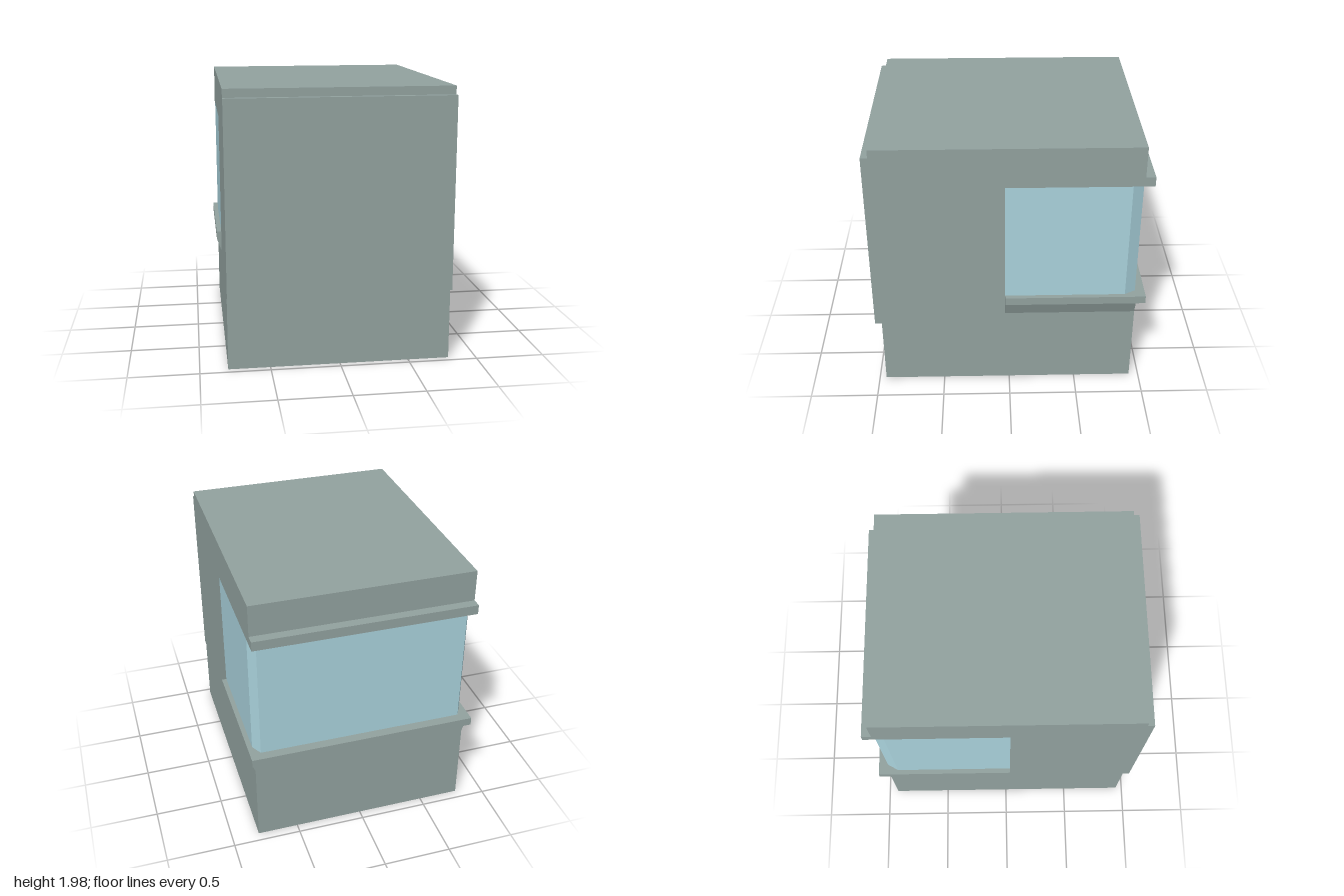
import * as THREE from 'three';

export function createModel() {
  const model = new THREE.Group();
  const wall = new THREE.MeshStandardMaterial({ color: 0x93a3a0 });
  const glass = new THREE.MeshStandardMaterial({ color: 0xabd4de });

  const add = (name, geometry, material) => {
    const mesh = new THREE.Mesh(geometry, material);
    mesh.name = name;
    model.add(mesh);
    return mesh;
  };
  const extrude = (points, depth) => new THREE.ExtrudeGeometry(
    new THREE.Shape(points.map(([x, y]) => new THREE.Vector2(x, y))),
    { depth, bevelEnabled: false });

  const W = 0.8, BACK = -0.93, FRONT = 0.95;
  const SILL = 0.77, HEAD = 1.68, JAMB = 0.03;

  // Body: side profile (z, y) with raised front panel and rear window notch
  const body = extrude([
    [BACK, 0], [FRONT, 0], [FRONT, 0.53], [1, 0.53], [1, 1.92], [FRONT, 1.92],
    [FRONT, 1.98], [BACK, 1.98], [BACK, HEAD], [JAMB, HEAD], [JAMB, SILL], [BACK, SILL],
  ], 2 * W);
  body.rotateY(-Math.PI / 2).translate(W, 0, 0);
  add('body', body, wall);

  // Wraparound window: plan (x, -z) with chamfered rear corners
  const pane = extrude([
    [-W, -JAMB], [W, -JAMB], [W, 0.85], [0.755, -BACK], [-0.755, -BACK], [-W, 0.85],
  ], HEAD - SILL);
  pane.rotateX(-Math.PI / 2).translate(0, SILL, 0);
  add('window', pane, glass);

  // Side sills with tapered undersides
  for (const [name, s] of [['leftSill', 1], ['rightSill', -1]]) {
    const sill = extrude([
      [s * W, 0.61], [s * 0.835, 0.71], [s * 0.835, SILL], [s * W, SILL],
    ], JAMB - BACK);
    add(name, sill.translate(0, 0, BACK), wall);
  }

  // Rear ledges below and above the window
  add('rearSill', new THREE.BoxGeometry(1.67, 0.06, 0.07), wall).position.set(0, 0.74, -0.965);
  add('rearHeadLedge', new THREE.BoxGeometry(2 * W, 0.07, 0.07), wall).position.set(0, 1.715, -0.965);

  return model;
}
